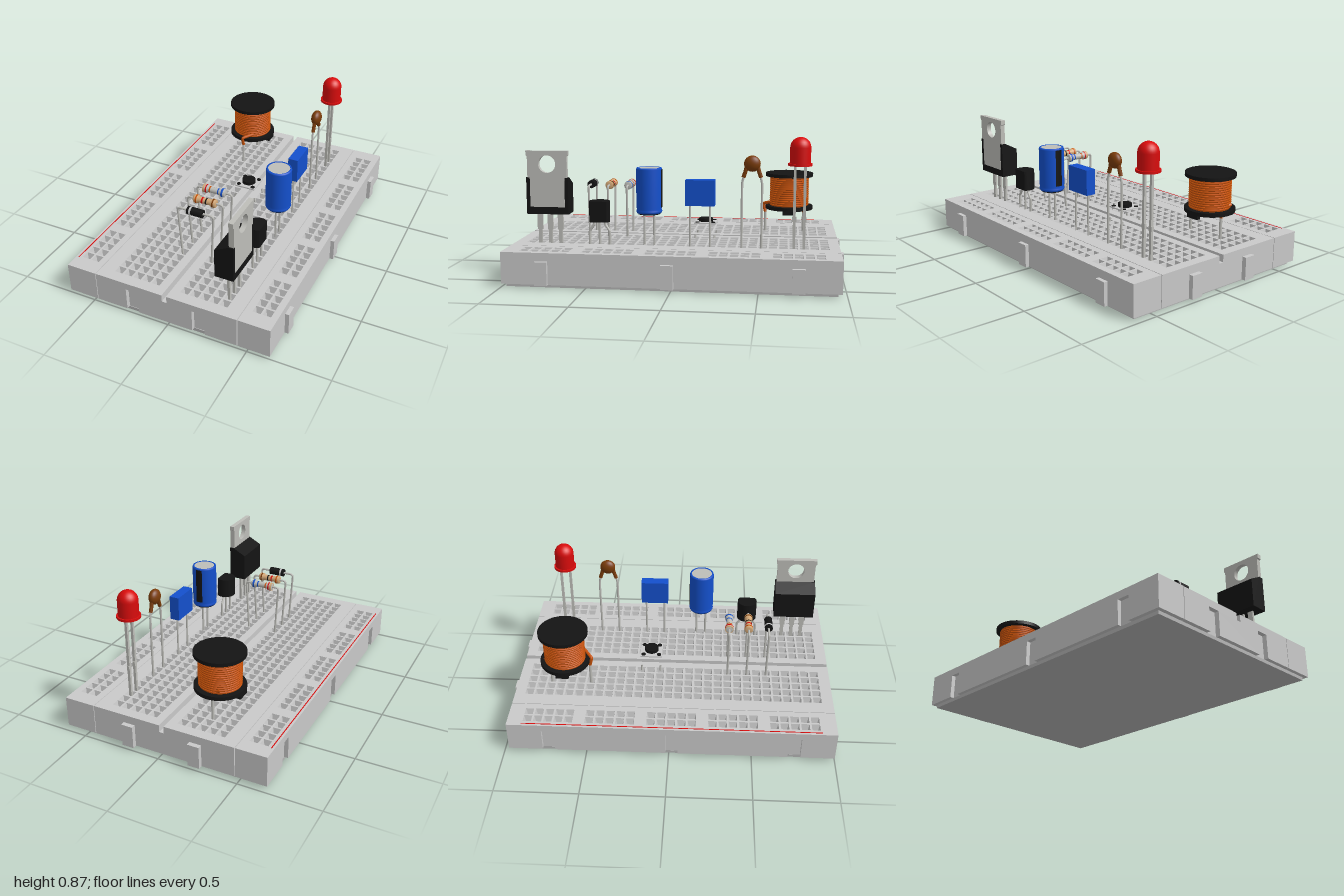
import * as THREE from 'three';
import { mergeGeometries } from 'three/addons/utils/BufferGeometryUtils.js';

const mat = (name, color) => Object.assign(new THREE.MeshStandardMaterial({ color }), { name });

export function createModel() {
  const M = {
    board: mat('board grey', 0xc9c9c9), pad: mat('pad grey', 0xb4b4b4), metal: mat('lead metal', 0xbdbdb8),
    black: mat('black plastic', 0x141414), blue: mat('blue', 0x1450cc), red: mat('red', 0xd80c0c),
    brown: mat('brown', 0x7a3c0a), copper: mat('copper wire', 0xc85208), tan: mat('tan', 0xd2a878),
  };
  const root = new THREE.Group();
  const group = (name) => {
    const g = new THREE.Group();
    g.name = name;
    root.add(g);
    return g;
  };
  const add = (parent, name, geo, m, x = 0, y = 0, z = 0) => {
    const mesh = new THREE.Mesh(geo, m);
    mesh.name = name;
    mesh.position.set(x, y, z);
    parent.add(mesh);
    return mesh;
  };
  // Box given by its min and max corners
  const box = (p, name, m, x0, x1, y0, y1, z0, z1) =>
    add(p, name, new THREE.BoxGeometry(x1 - x0, y1 - y0, z1 - z0), m, (x0 + x1) / 2, (y0 + y1) / 2, (z0 + z1) / 2);
  const disc = (p, name, m, r, y0, y1, x, z) =>
    add(p, name, new THREE.CylinderGeometry(r, r, y1 - y0, 40), m, x, (y0 + y1) / 2, z);
  const lead = (p, name, pts, r = 0.008, m = M.metal) => {
    const c = new THREE.CatmullRomCurve3(pts.map((q) => new THREE.Vector3(...q)), false, 'catmullrom', 0.15);
    return add(p, name, new THREE.TubeGeometry(c, 8 * pts.length, r, 8), m);
  };
  const lathe = (pts, n = 32) => new THREE.LatheGeometry(pts.map((q) => new THREE.Vector2(...q)), n);
  const poly = (pts, C = THREE.Shape) => new C(pts.map((q) => new THREE.Vector2(...q)));
  const extrude = (s, depth) => new THREE.ExtrudeGeometry(s, { depth, bevelEnabled: false, curveSegments: 24 });
  // Plan outline (x, -z) raised upwards
  const slab = (s, h) => extrude(s, h).rotateX(-Math.PI / 2);

  // ---- Board ----
  const ZB = -0.972, ZF = 1, MID = 0.165, TOP = 0.21, P = 0.0617;
  const board = group('breadboard');
  box(board, 'basePad', M.pad, -0.643, 0.615, 0, 0.02, -0.948, 0.976);
  const sideZ = [0.755, 0.018, -0.727], endX = [-0.23, 0.2];

  // Lower blocks with key slots on the front and left
  add(board, 'leftRailBase', slab(poly([[-0.667, -ZF], [-0.475, -ZF], [-0.475, -ZB], [-0.667, -ZB],
    ...[...sideZ].reverse().flatMap((z) => [[-0.667, 0.038 - z], [-0.642, 0.038 - z], [-0.642, -0.038 - z], [-0.667, -0.038 - z]])]),
  MID - 0.02), M.board, 0, 0.02);
  add(board, 'centreBase', slab(poly([[-0.471, -ZF],
    ...endX.flatMap((x) => [[x - 0.04, -ZF], [x - 0.04, 0.028 - ZF], [x + 0.04, 0.028 - ZF], [x + 0.04, -ZF]]),
    [0.44, -ZF], [0.44, -ZB], [-0.471, -ZB]]), MID - 0.02), M.board, 0, 0.02);
  box(board, 'rightRailBase', M.board, 0.444, 0.64, 0.02, MID, ZB, ZF);
  for (const z of sideZ) box(board, 'sideKey', M.board, 0.64, 0.664, 0.02, 0.16, z - 0.037, z + 0.037);
  for (const x of endX) box(board, 'endKey', M.board, x - 0.037, x + 0.037, 0.02, 0.16, -1, ZB);

  // Upper slabs pierced by tapered square sockets
  const funnel = new THREE.CylinderGeometry(0.0155 * Math.SQRT2, 0.025 * Math.SQRT2, 0.043, 4, 1, true)
    .rotateY(Math.PI / 4).scale(1, -1, 1).toNonIndexed();
  funnel.computeVertexNormals();
  const mainRows = Array.from({ length: 30 }, (_, i) => -0.884 + i * P);
  const railRows = Array.from({ length: 29 }, (_, i) => i).filter((i) => i % 6 < 5).map((i) => -0.852 + i * P);
  const socketSlab = (name, x0, x1, cols, rows) => {
    const s = poly([[x0, -ZF], [x1, -ZF], [x1, -ZB], [x0, -ZB]]);
    const cones = [];
    for (const x of cols) for (const z of rows) {
      const a = 0.025;
      s.holes.push(poly([[x - a, -z - a], [x - a, -z + a], [x + a, -z + a], [x + a, -z - a]], THREE.Path));
      cones.push(funnel.clone().translate(x, TOP - 0.0215, z));
    }
    add(board, name + 'Top', slab(s, TOP - MID), M.board, 0, MID);
    add(board, name + 'Sockets', mergeGeometries(cones), M.board);
  };
  const cols = (x, n) => Array.from({ length: n }, (_, i) => x + i * 0.0622);
  socketSlab('leftRail', -0.667, -0.475, cols(-0.603, 2), railRows);
  socketSlab('leftField', -0.471, -0.03, cols(-0.357, 5), mainRows);
  socketSlab('rightField', 0, 0.44, cols(0.077, 5), mainRows);
  socketSlab('rightRail', 0.444, 0.64, cols(0.513, 2), railRows);
  box(board, 'railLine', M.red, -0.653, -0.647, TOP, TOP + 0.001, -0.885, 0.91);

  // ---- Wound inductor ----
  const ind = group('inductor'), ix = -0.23, iz = -0.668;
  for (const [y0, y1, n] of [[0.575, 0.597, 'topFlange'], [0.36, 0.383, 'bottomFlange']]) disc(ind, n, M.black, 0.153, y0, y1, ix, iz);
  for (const s of [-1, 1]) {
    box(ind, 'foot', M.black, ix + s * 0.134 - 0.014, ix + s * 0.134 + 0.014, 0.337, 0.361, iz - 0.04, iz + 0.04);
    const z = iz + 0.03 + s * 0.124;
    lead(ind, 'lead', [[ix, 0.35, z], [ix, 0.19, z]], 0.009);
    lead(ind, 'wireTail', [[ix + s * 0.06, 0.41, iz + s * 0.115], [ix, 0.39, z + s * 0.012], [ix, 0.335, z]], 0.01, M.copper);
  }
  disc(ind, 'windingCore', M.copper, 0.12, 0.38, 0.577, ix, iz);
  const turns = [];
  for (let i = 0; i < 14; i++)
    turns.push(new THREE.TorusGeometry(0.12, 0.0075, 6, 40).rotateX(Math.PI / 2 + 0.02).translate(0, 0.391 + i * 0.0136, 0));
  add(ind, 'winding', mergeGeometries(turns), M.copper, ix, 0, iz);

  // ---- Indicator lamp ----
  const X = 0.325, led = group('lamp');
  const dome = [[0, 0.704], [0.071, 0.704], [0.071, 0.704], [0.071, 0.718], [0.071, 0.718], [0.061, 0.718], [0.061, 0.718]];
  for (let i = 0; i <= 8; i++) {
    const a = (i / 8) * Math.PI / 2;
    dome.push([0.061 * Math.cos(a), 0.811 + 0.061 * Math.sin(a)]);
  }
  add(led, 'lens', lathe(dome), M.red, X, 0, -0.727);
  for (const z of [-0.698, -0.757]) {
    box(led, 'lampLeg', M.metal, X - 0.008, X + 0.008, 0.19, 0.71, z - 0.008, z + 0.008);
    box(led, 'lampLegStop', M.metal, X - 0.008, X + 0.008, 0.37, 0.4, z - 0.012, z + 0.012);
  }

  // ---- Disc capacitor ----
  const cer = group('discCapacitor');
  add(cer, 'discBody', new THREE.SphereGeometry(1, 24, 16).scale(0.032, 0.048, 0.049), M.brown, X, 0.712, -0.447);
  for (const s of [-1, 1]) {
    const z = -0.447 + s * 0.032;
    lead(cer, 'shoulder', [[X, 0.7, z], [X, 0.665, z + s * 0.008], [X, 0.63, z + s * 0.02]], 0.012, M.brown);
    lead(cer, 'discLeg', [[X, 0.65, z + s * 0.012], [X, 0.59, z + s * 0.027], [X, 0.19, z + s * 0.027]], 0.007);
  }

  // ---- Box capacitor ----
  const film = group('boxCapacitor');
  box(film, 'filmBody', M.blue, 0.294, 0.357, 0.457, 0.612, -0.227, -0.052);
  for (const z of [-0.078, -0.198]) lead(film, 'filmLeg', [[X, 0.46, z], [X, 0.19, z]], 0.006);

  // ---- Can capacitor ----
  const can = group('canCapacitor'), cz = 0.17;
  add(can, 'sleeve', lathe([[0.066, 0.405], [0.074, 0.407], [0.078, 0.415], [0.078, 0.422], [0.074, 0.432], [0.078, 0.442],
    [0.078, 0.672], [0.075, 0.68], [0.066, 0.681], [0.066, 0.677]], 40), M.blue, X, 0, cz);
  disc(can, 'canTop', M.metal, 0.066, 0.66, 0.678, X, cz);
  disc(can, 'canSeal', M.black, 0.067, 0.4, 0.42, X, cz);
  add(can, 'polarityStripe', new THREE.CylinderGeometry(0.079, 0.079, 0.23, 8, 1, true, Math.PI - 0.28, 0.56), M.black, X, 0.557, cz);
  for (const z of [0.14, 0.2]) lead(can, 'canLeg', [[X, 0.41, z], [X, 0.19, z]], 0.007);

  // ---- Push button ----
  const sw = group('pushButton'), bx = -0.015, bz = -0.141;
  box(sw, 'buttonPlate', M.board, bx - 0.07, bx + 0.07, 0.293, 0.301, bz - 0.07, bz + 0.07);
  disc(sw, 'buttonCap', M.black, 0.044, 0.3, 0.323, bx, bz);
  for (const sx of [-1, 1]) for (const sz of [-1, 1]) {
    disc(sw, 'rivet', M.black, 0.014, 0.3, 0.304, bx + sx * 0.05, bz + sz * 0.05);
    lead(sw, 'buttonLeg', [[bx + sx * 0.068, 0.225, bz + sz * 0.06], [bx + sx * 0.075, 0.19, bz + sz * 0.06]], 0.006);
  }

  // ---- Axial parts: resistors and diode ----
  const axial = (name, z, profile, m, bands) => {
    const g = group(name), y = 0.532;
    add(g, 'body', lathe(profile, 24).rotateZ(-Math.PI / 2), m, bx, y, z);
    for (const [x, w, r, c] of bands)
      add(g, 'band', new THREE.CylinderGeometry(r, r, w, 24).rotateZ(Math.PI / 2), c, bx + x, y, z);
    for (const s of [-1, 1])
      lead(g, 'axialLead', [[bx + s * 0.04, y, z], [bx + s * 0.1, y, z], [bx + s * 0.112, y - 0.005, z], [bx + s * 0.116, y - 0.02, z],
        [bx + s * 0.097, 0.19, z]], 0.007);
  };
  const dumbbell = [[0, -0.074], [0.02, -0.074], [0.026, -0.068], [0.026, -0.046], [0.019, -0.036],
    [0.019, 0.036], [0.026, 0.046], [0.026, 0.068], [0.02, 0.074], [0, 0.074]];
  axial('greyResistor', 0.352, dumbbell, M.metal, [[-0.066, 0.012, 0.0265, M.tan], [-0.051, 0.008, 0.0267, M.red],
    [-0.028, 0.008, 0.0197, M.copper], [0.028, 0.008, 0.0197, M.blue], [0.056, 0.012, 0.0267, M.blue]]);
  axial('tanResistor', 0.474, dumbbell, M.tan, [[-0.054, 0.009, 0.0267, M.copper], [-0.016, 0.01, 0.0197, M.red],
    [0.01, 0.009, 0.0197, M.black], [0.055, 0.009, 0.0267, M.brown]]);
  axial('diode', 0.598, [[0, -0.05], [0.025, -0.05], [0.025, -0.05], [0.025, 0.05], [0.025, 0.05], [0, 0.05]], M.black,
    [[-0.029, 0.012, 0.0257, M.board]]);

  // ---- Small transistor ----
  const tr = group('transistor'), tz = 0.477;
  const dShape = new THREE.Shape();
  dShape.absarc(0, 0, 0.063, 0.94, Math.PI * 2 - 0.94, false);
  dShape.closePath();
  add(tr, 'transistorBody', slab(dShape, 0.128), M.black, X, 0.345, tz);
  for (const s of [-1, 0, 1])
    lead(tr, 'transistorLeg', [[X, 0.35, tz + s * 0.034], [X, 0.325, tz + s * 0.036], [X, 0.285, tz + s * P], [X, 0.19, tz + s * P]], 0.008);

  // ---- Power regulator ----
  const reg = group('regulator'), rz = 0.785;
  add(reg, 'regulatorBody', extrude(poly([[0.266, 0.393], [0.352, 0.393], [0.352, 0.617], [0.266, 0.572]]), 0.259), M.black, 0, 0, rz - 0.1295);
  box(reg, 'regulatorSill', M.black, 0.35, 0.381, 0.393, 0.437, rz - 0.1295, rz + 0.1295);
  for (const s of [-1, 1])
    box(reg, 'regulatorCheek', M.black, 0.35, 0.381, 0.436, 0.617, rz + s * 0.1185 - 0.011, rz + s * 0.1185 + 0.011);
  const half = [[0.107, 0.437], [0.107, 0.617], [0.122, 0.617], [0.122, 0.745], [0.13, 0.75], [0.13, 0.778]];
  const tab = poly([...half, ...[...half].reverse().map(([u, y]) => [-u, y])]);
  const hole = new THREE.Path();
  hole.absarc(0, 0.698, 0.053, 0, Math.PI * 2, true);
  tab.holes.push(hole);
  add(reg, 'heatTab', extrude(tab, 0.03).rotateY(Math.PI / 2), M.metal, 0.351, 0, rz);
  for (const s of [-1, 0, 1]) {
    const z = rz + s * 0.064;
    box(reg, 'regulatorLegTop', M.metal, X - 0.007, X + 0.007, 0.29, 0.4, z - 0.017, z + 0.017);
    box(reg, 'regulatorLeg', M.metal, X - 0.007, X + 0.007, 0.19, 0.29, z - 0.011, z + 0.011);
  }
  return root;
}
